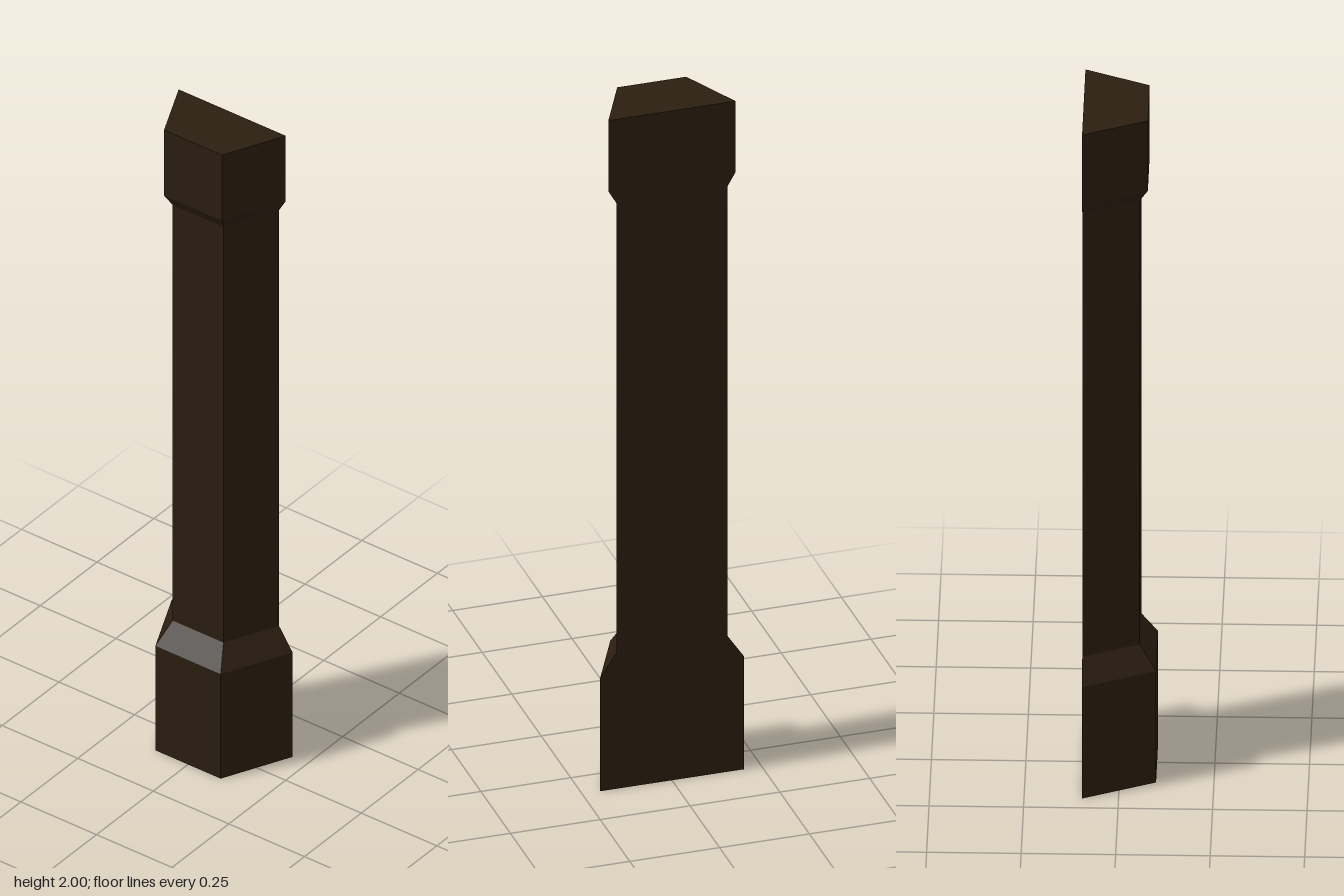
import * as THREE from 'three';

const BACK_X = 0.097; // flat wall side shared by every section

// Trapezoid ring, counter-clockwise seen from above
function ring([y, frontX, wide, narrow]) {
  return [[BACK_X, y, wide], [BACK_X, y, -wide], [frontX, y, -narrow], [frontX, y, narrow]];
}

// Joins trapezoid sections from bottom to top, closing the ends on request
function loft(sections, closeBottom, closeTop) {
  const rings = sections.map(ring);
  const pos = [];
  const quad = (a, b, c, d) => pos.push(...a, ...b, ...c, ...a, ...c, ...d);
  for (let s = 0; s < rings.length - 1; s++) {
    const lo = rings[s], hi = rings[s + 1];
    for (let i = 0; i < 4; i++) {
      const j = (i + 1) % 4;
      quad(lo[i], lo[j], hi[j], hi[i]);
    }
  }
  if (closeBottom) quad(...[...rings[0]].reverse());
  if (closeTop) quad(...rings[rings.length - 1]);
  const g = new THREE.BufferGeometry();
  g.setAttribute('position', new THREE.Float32BufferAttribute(pos, 3));
  g.computeVertexNormals();
  return g;
}

export function createModel() {
  const group = new THREE.Group();
  group.name = 'pilaster';
  const wood = new THREE.MeshStandardMaterial({ color: 0x2b1e10, flatShading: true });
  const add = (name, geometry) => {
    const mesh = new THREE.Mesh(geometry, wood);
    mesh.name = name;
    group.add(mesh);
  };

  // Section: height, front x, half width at the wall, half width at the front
  const base = [0, -0.097, 0.2, 0.108];
  const baseShoulder = [0.338, -0.097, 0.2, 0.108];
  const shaftBottom = [0.405, -0.053, 0.155, 0.084];
  const shaftTop = [1.75, -0.053, 0.155, 0.084];
  const capShoulder = [1.788, -0.075, 0.177, 0.096];
  const capTop = [2, -0.075, 0.177, 0.096];

  add('base', loft([base, baseShoulder, shaftBottom], true, false));
  add('shaft', loft([shaftBottom, shaftTop], false, false));
  add('capital', loft([shaftTop, capShoulder, capTop], false, true));
  return group;
}
